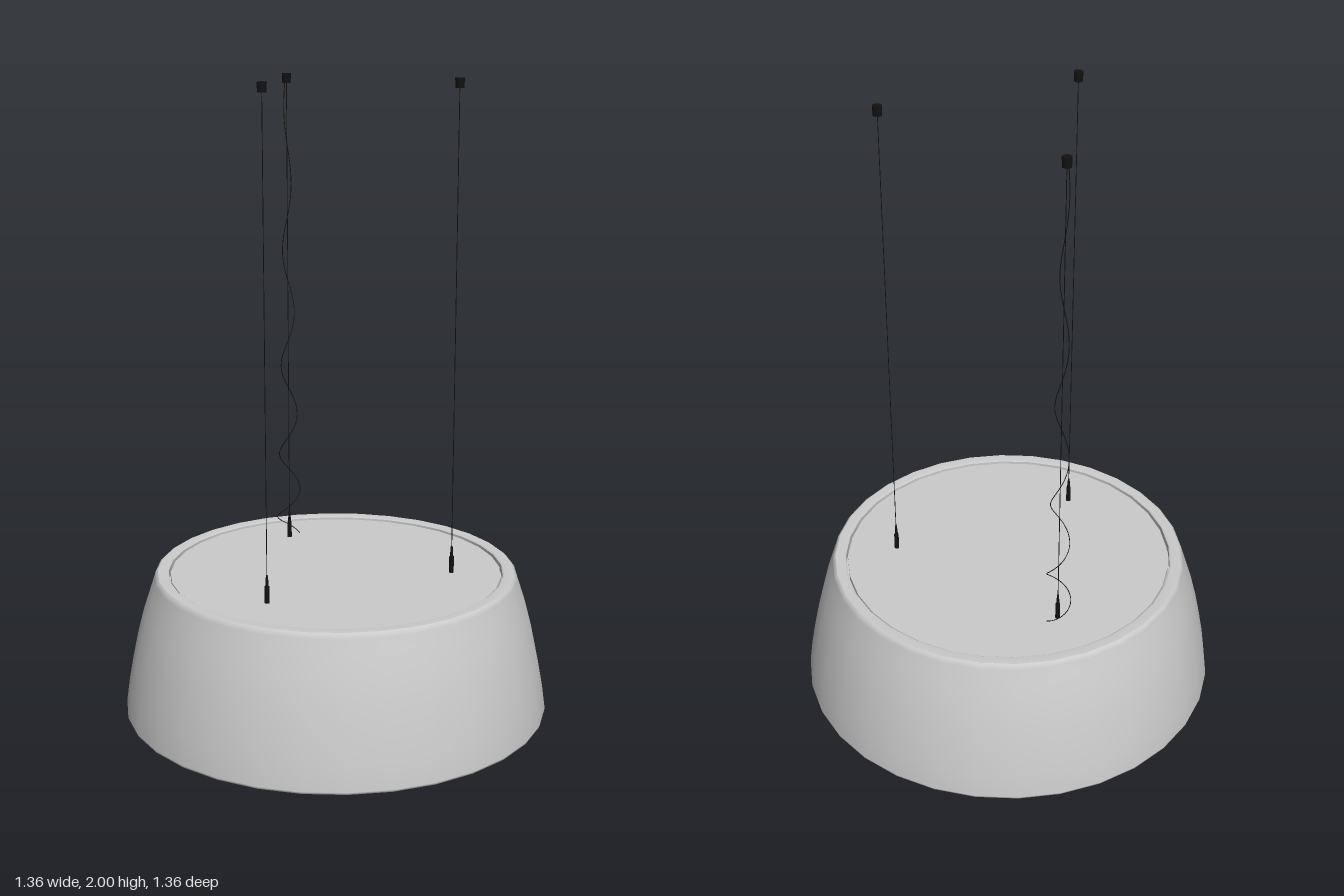
import * as THREE from 'three';

const SEGMENTS = 32;
const grey = new THREE.MeshStandardMaterial({ color: 0xcccccc, side: THREE.DoubleSide });
const black = new THREE.MeshStandardMaterial({ color: 0x111111, side: THREE.DoubleSide });

// Lathe whose corners stay crisp: each run of points is smoothed on its own
function turned(name, runs, material = grey, segments = SEGMENTS) {
  const group = new THREE.Group();
  group.name = name;
  runs.forEach((run, i) => {
    const points = run.map(([r, y]) => new THREE.Vector2(r, y));
    const mesh = new THREE.Mesh(new THREE.LatheGeometry(points, segments), material);
    mesh.name = `${name}Surface${i + 1}`;
    group.add(mesh);
  });
  return group;
}

function cylinder(name, rTop, rBottom, y0, y1, material, sides = 16) {
  const mesh = new THREE.Mesh(new THREE.CylinderGeometry(rTop, rBottom, y1 - y0, sides), material);
  mesh.position.y = (y0 + y1) / 2;
  mesh.name = name;
  return mesh;
}

// Loose cable winding around a suspension wire, tighter towards the ceiling
function spiralCable() {
  const points = [];
  const quarterTurns = 18.2;
  for (let i = 0; i <= 110; i++) {
    const k = (i / 110) * quarterTurns;
    const angle = k * Math.PI / 2;
    const r = 0.043 - 0.035 * (k / quarterTurns);
    points.push(new THREE.Vector3(-r * Math.sin(angle), 0.452 + 0.0369 * k + 0.00258 * k * k, -r * Math.cos(angle)));
  }
  const curve = new THREE.CatmullRomCurve3(points);
  const mesh = new THREE.Mesh(new THREE.TubeGeometry(curve, 220, 0.0013, 6), black);
  mesh.name = 'powerCable';
  return mesh;
}

export function createModel() {
  const model = new THREE.Group();
  model.name = 'pendantLamp';

  const lamp = new THREE.Group();
  lamp.name = 'lampBody';
  lamp.rotation.y = 0.02;
  model.add(lamp);

  // Shade: gently bowed wall with a rounded lip and a narrow groove at the top
  lamp.add(turned('shade', [
    [[0.672, 0], [0.678, 0.003], [0.68, 0.01], [0.669, 0.09], [0.654, 0.17], [0.637, 0.25],
      [0.616, 0.33], [0.593, 0.4], [0.58, 0.44], [0.577, 0.45], [0.57, 0.456]],
    [[0.57, 0.456], [0.54, 0.456], [0.535, 0.452]],
    [[0.535, 0.452], [0.535, 0.425]],
  ]));

  // Cover plate set inside the lip
  lamp.add(turned('coverPlate', [
    [[0.535, 0.425], [0.529, 0.425]],
    [[0.529, 0.425], [0.529, 0.447]],
    [[0.529, 0.447], [0, 0.447]],
  ]));

  // Conical reflector on the underside
  lamp.add(turned('reflector', [
    [[0.36, 0.178], [0.665, 0.006]],
    [[0.665, 0.006], [0.672, 0]],
  ]));

  // Ring and shallow dished diffuser
  lamp.add(turned('diffuserRing', [
    [[0.345, 0.215], [0.352, 0.178]],
    [[0.352, 0.178], [0.36, 0.178]],
  ]));
  lamp.add(turned('diffuser', [
    [[0, 0.245], [0.12, 0.241], [0.23, 0.231], [0.345, 0.212]],
  ]));

  // Three suspensions: gripper on the plate, thin wire and ceiling cap
  const anchors = [[-0.365, -0.067], [0.236, -0.286], [0.125, 0.345]];
  anchors.forEach(([x, z], i) => {
    const suspension = new THREE.Group();
    suspension.name = `suspension${i + 1}`;
    suspension.position.set(x, 0, z);
    suspension.add(
      cylinder('gripperBase', 0.0075, 0.0075, 0.445, 0.5, black),
      cylinder('gripperTip', 0.003, 0.0055, 0.5, 0.535, black),
      cylinder('wire', 0.0013, 0.0013, 0.535, 1.97, black, 6),
      cylinder('ceilingCap', 0.0145, 0.0135, 1.97, 2, black, 20),
    );
    if (i === 0) suspension.add(spiralCable());
    model.add(suspension);
  });

  return model;
}
